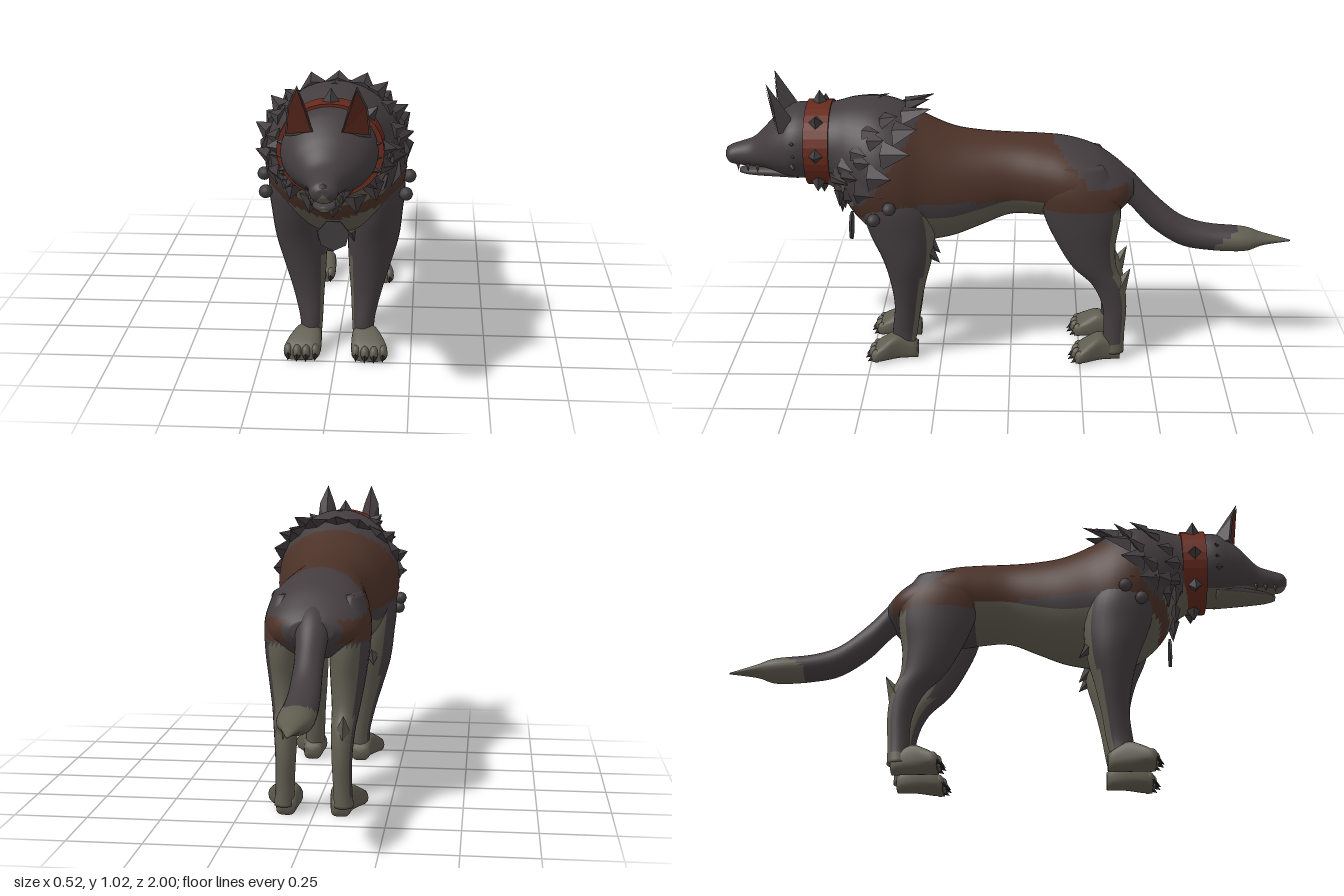
import * as THREE from 'three';

const mat = (name, color) => {
  const m = new THREE.MeshStandardMaterial({ color });
  m.name = name;
  return m;
};
const FUR = 0, PALE = 1, SADDLE = 2;

export function createModel() {
  const root = new THREE.Group();
  root.name = 'wolf';
  const fur = mat('charcoal fur', 0x443d3f), pale = mat('pale fur', 0x605d50);
  const saddle = mat('brown saddle', 0x4c3228), leather = mat('red leather', 0x672a1d);
  const earRed = mat('inner ear red', 0x54251b);
  const metal = mat('dark metal', 0x403c3e), black = mat('black claw', 0x282425);
  const palette = [fur, pale, saddle];

  const add = (name, geo, material, x = 0, y = 0, z = 0) => {
    const m = new THREE.Mesh(geo, material);
    m.name = name;
    m.position.set(x, y, z);
    root.add(m);
    return m;
  };

  // Catmull-Rom resampling of cross-section rows
  const smoothRows = (rows, steps) => {
    const out = [];
    const at = i => rows[Math.max(0, Math.min(rows.length - 1, i))];
    for (let i = 0; i < rows.length - 1; i++) for (let s = 0; s < steps; s++) {
      const t = s / steps;
      out.push(rows[i].map((b, k) => {
        const a = at(i - 1)[k], c = at(i + 1)[k], d = at(i + 2)[k];
        return b + 0.5 * t * (c - a + t * (2 * a - 5 * b + 4 * c - d + t * (3 * (b - c) + d - a)));
      }));
    }
    out.push(rows[rows.length - 1]);
    return out;
  };

  // Skin over oval sections. Row: [position on axis, xLow, xHigh, low, high]; paint picks a palette colour per face
  const loft = (name, rows, { axis = 'z', steps = 5, n = 32, square = 1, paint = () => FUR } = {}) => {
    const rings = smoothRows(rows, steps), pos = [], faces = [[], [], []];
    const bend = v => Math.sign(v) * Math.abs(v) ** square;
    const put = (t, x, o) => axis === 'z' ? pos.push(x, o, t) : pos.push(x, t, o);
    for (const [t, x0, x1, a, b] of rings) for (let j = 0; j < n; j++) {
      const q = j / n * Math.PI * 2;
      put(t, (x0 + x1) / 2 + (x1 - x0) / 2 * bend(Math.cos(q)), (a + b) / 2 + (b - a) / 2 * bend(Math.sin(q)));
    }
    const last = rings.length - 1, c0 = pos.length / 3;
    for (const r of [rings[0], rings[last]]) put(r[0], (r[1] + r[2]) / 2, (r[3] + r[4]) / 2);
    const P = i => new THREE.Vector3().fromArray(pos, i * 3);
    const tri = (a, b, c, q) => {
      const p = P(a).add(P(b)).add(P(c)).divideScalar(3);
      faces[paint(p, Math.cos(q), Math.sin(q))].push(...(axis === 'z' ? [a, b, c] : [a, c, b]));
    };
    for (let j = 0; j < n; j++) {
      const k = (j + 1) % n, q = (j + 0.5) / n * Math.PI * 2;
      for (let i = 0; i < last; i++) {
        tri(i * n + j, i * n + k, (i + 1) * n + j, q);
        tri(i * n + k, (i + 1) * n + k, (i + 1) * n + j, q);
      }
      tri(c0, k, j, q);
      tri(c0 + 1, last * n + j, last * n + k, q);
    }
    const g = new THREE.BufferGeometry();
    g.setAttribute('position', new THREE.Float32BufferAttribute(pos, 3));
    g.setIndex(faces.flat());
    let start = 0;
    faces.forEach((f, i) => { if (f.length) g.addGroup(start, f.length, i); start += f.length; });
    g.computeVertexNormals();
    return add(name, g, palette);
  };
  const sym = rows => rows.map(([t, w, a, b]) => [t, -w, w, a, b]);
  const side = (rows, s) => rows.map(([t, a, b, c, d]) => s > 0 ? [t, a, b, c, d] : [t, -b, -a, c, d]);

  // Pointed cone starting at p, aimed along d and flattened towards the surface normal
  const spike = (name, material, p, d, len, r, normal = [0.01, 0.02, 1], flat = 1) => {
    const g = new THREE.ConeGeometry(r, len, 4).toNonIndexed();
    g.translate(0, len / 2, 0).scale(1, 1, flat);
    g.computeVertexNormals();
    const y = new THREE.Vector3(...d).normalize();
    const x = y.clone().cross(new THREE.Vector3(...normal)).normalize();
    add(name, g, material, ...p).quaternion.setFromRotationMatrix(new THREE.Matrix4().makeBasis(x, y, x.clone().cross(y)));
  };

  // Brown saddle region shared by torso and legs
  const maneEdge = y => y > 0.69 ? 0.45 - 0.68 * (y - 0.69) : 0.45 + 0.8 * (0.69 - y);
  const inSaddle = p => p.y > (p.z > -0.1 ? 0.62 : 0.59) && p.z < maneEdge(p.y) && p.z > -0.41
    && !(p.z < -0.13 && p.y > Math.max(0.67, 0.83 + (p.z + 0.13) * 1.05));

  // Torso, neck ruff and rump
  const torso = sym([
    [-0.43, 0.07, 0.60, 0.67], [-0.38, 0.14, 0.55, 0.715], [-0.3, 0.17, 0.52, 0.77], [-0.2, 0.173, 0.52, 0.803],
    [-0.1, 0.157, 0.53, 0.815], [0, 0.146, 0.53, 0.82], [0.1, 0.16, 0.49, 0.826], [0.2, 0.182, 0.45, 0.842],
    [0.3, 0.2, 0.43, 0.885], [0.38, 0.226, 0.42, 0.93], [0.46, 0.228, 0.45, 0.95], [0.54, 0.195, 0.52, 0.947],
    [0.6, 0.16, 0.61, 0.932], [0.68, 0.14, 0.66, 0.915]]);
  loft('torso', torso, {
    n: 48, steps: 6, paint: (p, nx, ny) => {
      const w = Math.abs(p.x);
      if (p.z > 0.4 && ny < 0 && Math.abs(p.y - 0.53 - 0.33 * w) < 0.024) return SADDLE;
      if (p.z > 0.42 && ny < -0.1 && p.y < 0.69 && w < Math.min(0.16, 0.1 + (p.y - 0.45) * 0.5)) return PALE;
      if (p.z > -0.12 && p.z < 0.42 && ny < -0.43) return PALE;
      return inSaddle(p) ? SADDLE : FUR;
    }
  });
  const torsoAt = (z, q) => {
    const i = Math.max(1, torso.findIndex(r => r[0] >= z)), a = torso[i - 1], b = torso[i];
    const [, , w, lo, hi] = a.map((v, k) => v + (b[k] - v) * (z - a[0]) / (b[0] - a[0]));
    return [w * Math.cos(q), (lo + hi) / 2 + (hi - lo) / 2 * Math.sin(q), z];
  };

  // Ragged mane: flat locks along the rear edge, then a sparser row on the flanks
  for (let i = 0; i <= 12; i++) {
    const q = THREE.MathUtils.degToRad(-36 + i * 21), c = Math.cos(q), s = Math.sin(q);
    const edge = 0.46 - 0.13 * s;
    spike('maneLock', fur, torsoAt(edge + 0.03, q), [0.35 * c, 0.28 * s, -0.9], 0.085 + 0.02 * (i % 2), 0.05, [c, s, 0.3], 0.4);
    if (s < 0.75) {
      spike('flankLock', fur, torsoAt(edge + 0.07, q + 0.15), [0.65 * c, 0.3 * s + 0.1, -0.6], 0.075, 0.035, [c, s, 0.3], 0.5);
      spike('neckLock', fur, torsoAt(Math.min(edge + 0.13, 0.6), q - 0.1), [0.6 * c, 0.3 * s - 0.1, -0.6], 0.07, 0.03, [c, s, 0.3], 0.5);
    }
  }
  spike('crestLock', fur, [0, 0.94, 0.5], [0, 0.25, -1], 0.06, 0.03, [0, 1, 0], 0.5);
  // Throat and breast locks
  for (let i = -2; i <= 2; i++) {
    spike('throatLock', fur, torsoAt(0.59, -Math.PI / 2 + i * 0.42), [i * 0.12, -1, 0], 0.06, 0.04, [0, 0.2, 1], 0.5);
    spike('breastLock', fur, [i * 0.025, 0.44, 0.43], [i * 0.1, -1, -0.2], 0.065 - 0.01 * Math.abs(i), 0.02);
  }

  // Head, lower jaw, teeth and nose
  loft('head', sym([
    [0.62, 0.13, 0.67, 0.91], [0.7, 0.146, 0.664, 0.926], [0.75, 0.148, 0.663, 0.924], [0.79, 0.134, 0.672, 0.902],
    [0.83, 0.112, 0.687, 0.87], [0.86, 0.088, 0.695, 0.84], [0.9, 0.06, 0.698, 0.803], [0.95, 0.046, 0.702, 0.785],
    [0.985, 0.04, 0.71, 0.772], [1, 0.018, 0.73, 0.755]]), { paint: (p, nx, ny) => ny < -0.8 ? PALE : FUR });
  loft('lowerJaw', sym([[0.74, 0.08, 0.664, 0.71], [0.84, 0.06, 0.664, 0.71], [0.92, 0.038, 0.667, 0.698],
    [0.955, 0.015, 0.672, 0.69]]), { paint: (p, nx, ny) => ny < -0.2 ? PALE : FUR, n: 20 });
  add('nose', new THREE.SphereGeometry(0.018, 12, 8), black, 0, 0.757, 0.981).scale.set(1.2, 0.8, 1);

  // Tail with pale tip
  loft('tail', sym([
    [-1, 0.003, 0.42, 0.425], [-0.9, 0.035, 0.408, 0.45], [-0.83, 0.057, 0.386, 0.472], [-0.7, 0.056, 0.39, 0.485],
    [-0.6, 0.052, 0.41, 0.52], [-0.5, 0.048, 0.475, 0.605], [-0.42, 0.055, 0.56, 0.688], [-0.34, 0.06, 0.62, 0.735]]),
  { paint: (p, nx, ny) => p.z < -0.77 - 0.045 * ny + 0.025 * nx * nx ? PALE : FUR });

  // Collar band with spikes
  const band = new THREE.Shape().absellipse(0, 0, 0.165, 0.148, 0, Math.PI * 2);
  band.holes.push(new THREE.Path().absellipse(0, 0, 0.13, 0.115, 0, Math.PI * 2));
  add('collar', new THREE.ExtrudeGeometry(band, { depth: 0.085, bevelEnabled: false, curveSegments: 16 }), leather, 0, 0.787, 0.62);
  for (let i = 0; i < 8; i++) {
    const q = i * Math.PI / 4, c = Math.cos(q), s = Math.sin(q);
    spike('collarSpike', metal, [0.162 * c, 0.787 + 0.146 * s, 0.662], [c, s, 0], 0.042, 0.026);
  }
  // Pendant plate on the breast
  add('pendant', new THREE.CylinderGeometry(0.052, 0.052, 0.008, 7).rotateX(Math.PI / 2), metal, 0, 0.47, 0.57);

  const legRows = {
    front: [[0.03, 0.055, 0.13, 0.35, 0.43], [0.1, 0.05, 0.125, 0.335, 0.425], [0.2, 0.045, 0.147, 0.32, 0.415],
      [0.3, 0.038, 0.177, 0.3, 0.425], [0.4, 0.035, 0.205, 0.275, 0.45], [0.5, 0.05, 0.217, 0.265, 0.49],
      [0.6, 0.06, 0.224, 0.28, 0.51], [0.7, 0.1, 0.2, 0.33, 0.47]],
    hind: [[0.03, 0.065, 0.135, -0.41, -0.33], [0.1, 0.065, 0.13, -0.41, -0.335], [0.2, 0.06, 0.13, -0.415, -0.33],
      [0.29, 0.056, 0.138, -0.405, -0.29], [0.36, 0.053, 0.15, -0.375, -0.22], [0.45, 0.045, 0.165, -0.37, -0.165],
      [0.55, 0.04, 0.178, -0.385, -0.12], [0.65, 0.04, 0.18, -0.375, -0.1], [0.74, 0.08, 0.15, -0.32, -0.14]]
  };
  const pawRows = [[-0.085, 0.06, 0.125, 0, 0.055], [-0.02, 0.052, 0.14, 0, 0.095], [0.03, 0.05, 0.165, 0, 0.075],
    [0.062, 0.053, 0.174, 0, 0.053], [0.075, 0.06, 0.167, 0, 0.035]];

  for (const s of [1, -1]) {
    // Legs: pale on the inner and rear faces
    for (const [kind, rows] of Object.entries(legRows)) {
      loft(kind + 'Leg', side(rows, s), {
        axis: 'y', n: 28, paint: (p, nx, nz) => {
          if (inSaddle(p)) return SADDLE;
          const inner = -0.6 * s * nx - 0.8 * nz;
          return p.y < 0.07 || (p.y < 0.58 && inner > (p.y < 0.34 ? 0 : 0.35)) ? PALE : FUR;
        }
      });
      // Paw, toes and claws
      const z0 = kind === 'front' ? 0.42 : -0.31;
      loft(kind + 'Paw', side(pawRows, s).map(([t, ...r]) => [t + z0, ...r]), { square: 0.65, n: 24, steps: 3, paint: () => PALE });
      for (let i = 0; i < 4; i++) {
        const x = s * (0.068 + i * 0.03), out = 0.06 + (i % 3 ? 0.01 : 0);
        add('toe', new THREE.SphereGeometry(0.018, 10, 8), pale, x, 0.028, z0 + out).scale.set(0.85, 1.4, 1.1);
        spike('claw', black, [x, 0.022, z0 + out + 0.01], [0, -0.7, 1], 0.028, 0.012);
      }
    }
    // Elbow and hock tufts
    for (let i = 0; i < 2; i++)
      spike('elbowTuft', fur, [s * (0.1 + i * 0.04), 0.46 - i * 0.02, 0.295], [s * 0.1, -0.6, -0.6], 0.07, 0.03);
    spike('hockTuft', pale, [s * 0.1, 0.28, -0.385], [s * 0.05, 0.8, -0.42], 0.085, 0.03);
    // Cheek tufts and teeth
    for (let i = 0; i < 3; i++) {
      spike('cheekTuft', fur, [s * 0.115, 0.75 + i * 0.035, 0.755], [s, 0.25 * i - 0.4, -0.4], 0.05, 0.02);
      spike('tooth', pale, [s * (0.034 + i * 0.008), 0.715, 0.955 - i * 0.035], [0, -1, 0], 0.026, 0.007);
    }
    // Ears with coloured inner plate
    const V = (x, y, z) => new THREE.Vector3(s * x, y, z);
    const rim = [V(0.04, 0.87, 0.815), V(0.128, 0.855, 0.79), V(0.119, 0.95, 0.805), V(0.088, 1.02, 0.83), V(0.062, 0.95, 0.82)];
    const back = V(0.086, 0.86, 0.725);
    const tris = (name, list, m) => {
      const pts = list.flatMap(([p, q, r]) => s > 0 ? [p, q, r] : [p, r, q]);
      const g = new THREE.BufferGeometry().setFromPoints(pts);
      g.computeVertexNormals();
      add(name, g, m);
    };
    const fan = r => [1, 2, 3].map(i => [r[0], r[i], r[i + 1]]);
    tris('ear', [...fan(rim), ...rim.map((p, i) => [rim[(i + 1) % 5], p, back])], fur);
    const mid = V(0.088, 0.93, 0.812);
    tris('innerEar', fan(rim.map(p => p.clone().lerp(mid, 0.12).add(V(0, 0, 0.004)))), earRed);
    // Shoulder studs
    add('strapStud', new THREE.IcosahedronGeometry(0.023, 1), metal, s * 0.238, 0.625, 0.41);
    add('strapStud', new THREE.IcosahedronGeometry(0.023, 1), metal, s * 0.228, 0.58, 0.465);
  }
  return root;
}
